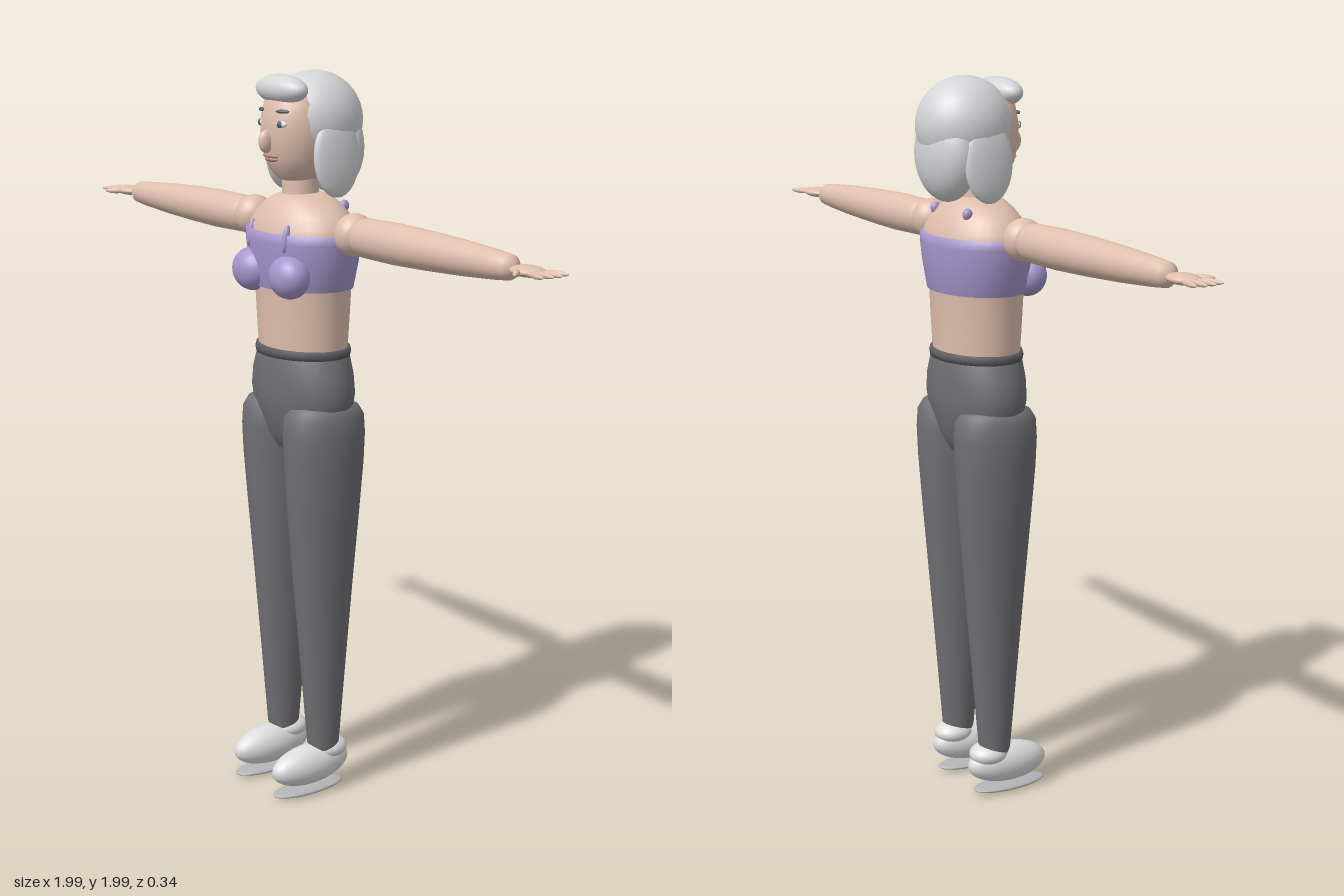
import * as THREE from 'three';

const mat = (name, color) => Object.assign(new THREE.MeshStandardMaterial({ color }), { name });

// Closed surface through elliptical cross-sections, listed from bottom to top: [y, rx, rz, cx, cz]
function loft(rows, seg = 36) {
  const pos = [], idx = [];
  for (const [y, rx, rz, cx = 0, cz = 0] of rows) {
    for (let j = 0; j < seg; j++) {
      const a = (j / seg) * Math.PI * 2;
      pos.push(cx + rx * Math.cos(a), y, cz + rz * Math.sin(a));
    }
  }
  for (let i = 0; i < rows.length - 1; i++) {
    for (let j = 0; j < seg; j++) {
      const k = (j + 1) % seg;
      const a = i * seg + j, b = i * seg + k, c = a + seg, d = b + seg;
      idx.push(a, c, b, b, c, d);
    }
  }
  const g = new THREE.BufferGeometry();
  g.setAttribute('position', new THREE.Float32BufferAttribute(pos, 3));
  g.setIndex(idx);
  g.computeVertexNormals();
  return g;
}

export function createModel() {
  const model = new THREE.Group();
  model.name = 'figure';
  const skin = mat('skin', 0xdfbfae), hair = mat('hair', 0xd3d4d6);
  const top = mat('lavender fabric', 0xa596cc), pants = mat('grey fabric', 0x707074);
  const band = mat('waistband grey', 0x5c5c61), shoe = mat('shoe white', 0xdcdcdc);
  const sole = mat('sole grey', 0xb4b4b6), white = mat('eye white', 0xeeeeee);
  const dark = mat('eye grey', 0x55616c), lip = mat('lip', 0xbd8c80);

  const sphere = new THREE.SphereGeometry(1, 32, 20);
  const add = (name, geo, m, p = [0, 0, 0], r = [0, 0, 0]) => {
    const mesh = new THREE.Mesh(geo, m);
    mesh.name = name;
    mesh.position.set(...p);
    mesh.rotation.set(...r);
    model.add(mesh);
    return mesh;
  };
  const blob = (name, m, p, s, r) => add(name, sphere, m, p, r).scale.set(...s);

  // Torso and neck
  add('torso', loft([
    [1.22, 0.14, 0.105], [1.32, 0.147, 0.11], [1.42, 0.154, 0.114], [1.5, 0.172, 0.122],
    [1.56, 0.183, 0.126], [1.59, 0.177, 0.12], [1.62, 0.155, 0.105], [1.645, 0.122, 0.09],
    [1.663, 0.085, 0.073], [1.673, 0.05, 0.05], [1.675, 0, 0],
  ]), skin);
  add('neck', new THREE.CylinderGeometry(0.047, 0.05, 0.14, 28), skin, [0, 1.7, 0.008]);

  // Cropped top
  add('topBand', loft([
    [1.425, 0.15, 0.11], [1.425, 0.16, 0.12], [1.5, 0.179, 0.13],
    [1.55, 0.189, 0.133], [1.575, 0.189, 0.131], [1.575, 0.17, 0.11],
  ]), top);

  // Head: jaw to crown
  add('head', loft([
    [1.7, 0, 0], [1.702, 0.03, 0.03], [1.712, 0.052, 0.056], [1.735, 0.072, 0.077],
    [1.765, 0.087, 0.09], [1.81, 0.098, 0.099], [1.86, 0.101, 0.1], [1.91, 0.092, 0.09],
    [1.95, 0.065, 0.065], [1.965, 0.035, 0.035], [1.97, 0, 0],
  ].map(([y, rx, rz]) => [y, rx, rz, 0, 0.015])), skin);
  blob('nose', skin, [0, 1.812, 0.118], [0.015, 0.03, 0.022]);
  blob('upperLip', lip, [0, 1.774, 0.104], [0.033, 0.007, 0.009]);
  blob('lowerLip', lip, [0, 1.765, 0.102], [0.026, 0.007, 0.01]);

  // Hair
  blob('hairCap', hair, [0, 1.86, -0.037], [0.125, 0.13, 0.131]);
  blob('backHair', hair, [0, 1.79, -0.092], [0.115, 0.126, 0.07]);
  blob('fringe', hair, [0, 1.944, 0.068], [0.1, 0.039, 0.045]);

  // Pelvis and waistband
  add('pelvis', loft([
    [0.958, 0, 0], [0.963, 0.045, 0.045], [0.985, 0.08, 0.072], [1.03, 0.122, 0.095],
    [1.09, 0.168, 0.11], [1.14, 0.178, 0.116], [1.19, 0.168, 0.117], [1.235, 0.15, 0.113], [1.25, 0.143, 0.108],
  ]), pants);
  add('waistband', loft([
    [1.24, 0.13, 0.1], [1.24, 0.148, 0.115], [1.252, 0.151, 0.117], [1.264, 0.148, 0.114], [1.264, 0.13, 0.1],
  ]), band);

  for (const s of [1, -1]) {
    // Face and side hair
    blob('eye', white, [s * 0.045, 1.858, 0.101], [0.017, 0.009, 0.008], [0, s * 0.4, 0]);
    blob('iris', dark, [s * 0.045, 1.858, 0.107], [0.008, 0.009, 0.004], [0, s * 0.4, 0]);
    blob('brow', dark, [s * 0.047, 1.891, 0.099], [0.02, 0.005, 0.007], [0, s * 0.45, 0]);
    blob('sideHair', hair, [s * 0.109, 1.772, -0.03], [0.024, 0.106, 0.072], [0, 0, s * 0.06]);

    // Cups and straps
    blob('cup', top, [s * 0.085, 1.465, 0.105], [0.065, 0.058, 0.05]);
    blob('frontStrap', top, [s * 0.08, 1.565, 0.112], [0.01, 0.037, 0.012], [-0.2, 0, 0]);
    blob('backStrap', top, [s * 0.08, 1.638, -0.077], [0.012, 0.016, 0.014]);

    // Arm
    blob('shoulder', skin, [s * 0.227, 1.585, 0], [0.05, 0.056, 0.056]);
    add('arm', loft([
      [0.225, 0, 0], [0.24, 0.042, 0.042], [0.28, 0.051, 0.051], [0.4, 0.053, 0.053], [0.52, 0.05, 0.05],
      [0.66, 0.044, 0.044], [0.78, 0.036, 0.036], [0.83, 0.031, 0.031], [0.843, 0.02, 0.02], [0.848, 0, 0],
    ]), skin, [0, 1.583, 0], [0, 0, -s * Math.PI / 2]);

    // Hand
    blob('palm', skin, [s * 0.89, 1.583, 0], [0.05, 0.014, 0.037]);
    for (let i = 0; i < 4; i++) {
      const t = i - 1.5;
      const reach = 0.955 - Math.abs(t) * 0.006;
      blob('finger', skin, [s * reach, 1.583, t * 0.021], [0.041, 0.007, 0.007], [0, -s * t * 0.14, 0]);
    }
    blob('thumb', skin, [s * 0.9, 1.583, 0.044], [0.032, 0.008, 0.008], [0, -s * 0.85, 0]);

    // Leg
    add('leg', loft([
      [0.125, 0.04, 0.04, s * 0.096], [0.14, 0.043, 0.045, s * 0.096], [0.35, 0.055, 0.064, s * 0.095],
      [0.6, 0.069, 0.087, s * 0.094], [0.8, 0.083, 0.104, s * 0.095], [0.95, 0.093, 0.115, s * 0.097],
      [1.03, 0.094, 0.119, s * 0.097], [1.08, 0.088, 0.117, s * 0.097], [1.105, 0.074, 0.102, s * 0.097],
      [1.12, 0.045, 0.06, s * 0.097], [1.125, 0, 0, s * 0.097],
    ]), pants);

    // Shoe
    blob('shoe', shoe, [s * 0.094, 0.083, 0.043], [0.053, 0.056, 0.125], [0.05, 0, 0]);
    blob('shoeCollar', shoe, [s * 0.094, 0.12, -0.017], [0.05, 0.032, 0.057]);
    blob('sole', sole, [s * 0.094, 0.014, 0.05], [0.044, 0.012, 0.115], [0.01, 0, 0]);
  }
  return model;
}
